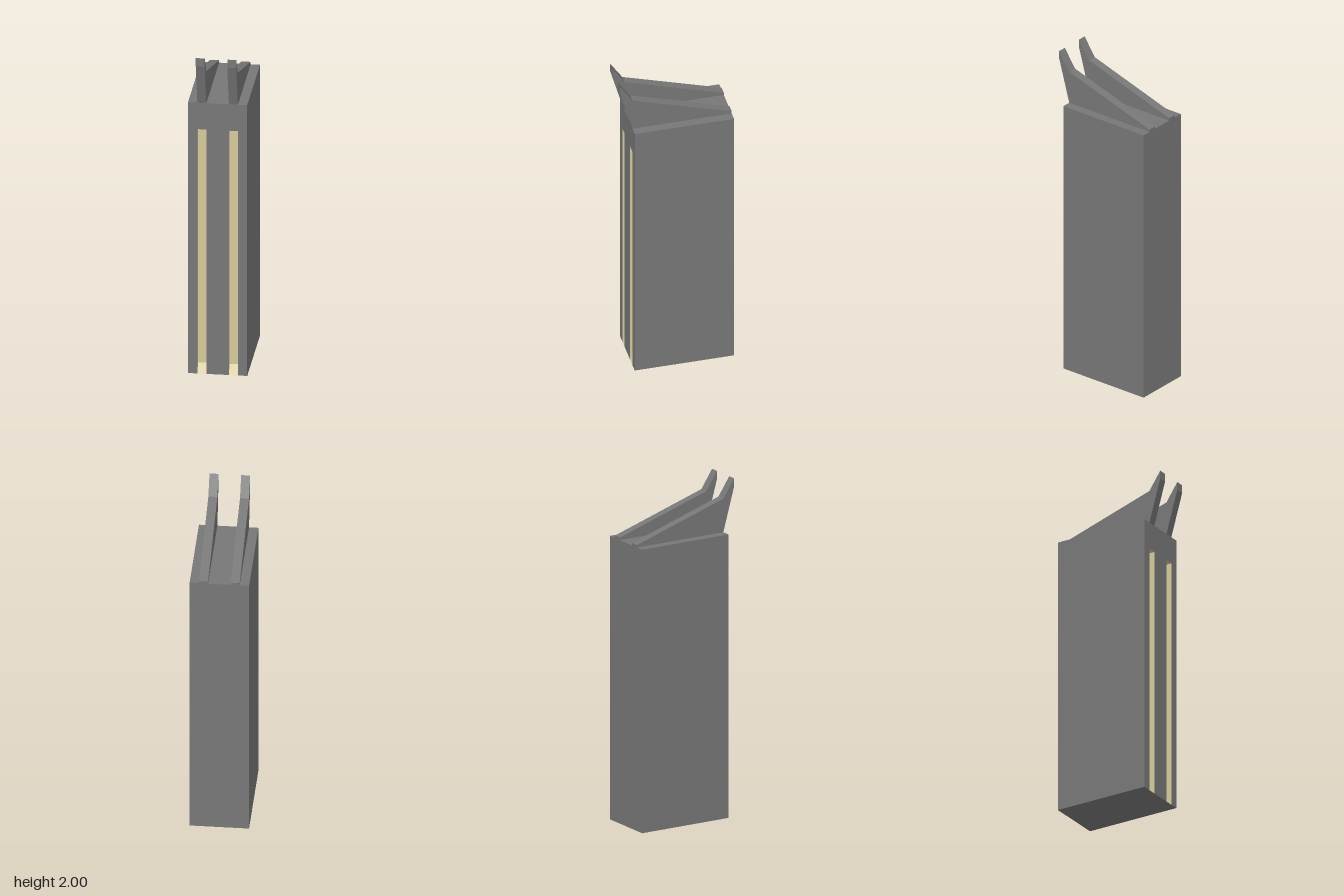
import * as THREE from 'three';

const W = 0.171, H = 1.69, BACK = -0.33, FRONT = 0.257; // body extents
const IN = 0.065, OUT = 0.117;                          // inner and outer x of slots and fins
const SLOT_TOP = 1.525, SLOT_Z = FRONT - 0.035, RAMP = 0.055;

// Flat faces, corners listed counter-clockwise as seen from outside
function faces(polys) {
  const pos = [];
  for (const p of polys)
    for (let i = 1; i < p.length - 1; i++) pos.push(...p[0], ...p[i], ...p[i + 1]);
  const g = new THREE.BufferGeometry();
  g.setAttribute('position', new THREE.Float32BufferAttribute(pos, 3));
  g.computeVertexNormals();
  return g;
}

export function createModel() {
  const model = new THREE.Group();
  const dark = new THREE.MeshStandardMaterial({ color: 0x777777 });
  const cream = new THREE.MeshStandardMaterial({ color: 0xd6ca9a });
  const add = (name, geometry, material) => {
    const mesh = new THREE.Mesh(geometry, material);
    mesh.name = name;
    model.add(mesh);
    return mesh;
  };

  // Body: sides, back, top and bottom
  add('bodyShell', faces([
    [[W, 0, FRONT], [W, 0, BACK], [W, H, BACK], [W, H, FRONT]],
    [[-W, 0, BACK], [-W, 0, FRONT], [-W, H, FRONT], [-W, H, BACK]],
    [[W, 0, BACK], [-W, 0, BACK], [-W, H, BACK], [W, H, BACK]],
    [[-W, H, FRONT], [W, H, FRONT], [W, H, BACK], [-W, H, BACK]],
    [[-W, 0, BACK], [W, 0, BACK], [W, 0, FRONT], [-W, 0, FRONT]],
  ]), dark);

  // Front face with two slots cut up from the bottom edge
  const front = new THREE.Shape([
    [-W, 0], [-OUT, 0], [-OUT, SLOT_TOP], [-IN, SLOT_TOP], [-IN, 0],
    [IN, 0], [IN, SLOT_TOP], [OUT, SLOT_TOP], [OUT, 0], [W, 0], [W, H], [-W, H],
  ].map(([x, y]) => new THREE.Vector2(x, y)));
  add('frontFace', new THREE.ShapeGeometry(front), dark).position.z = FRONT;

  // Fin profile as (z, y), from the front foot round over the hooked tip
  const fin = new THREE.Shape([
    [FRONT, H], [0.33, 1.95], [0.33, 2], [FRONT, 1.89], [BACK, 1.705], [BACK, H],
  ].map(([z, y]) => new THREE.Vector2(-z, y)));
  const finGeometry = new THREE.ExtrudeGeometry(fin, { depth: OUT - IN, bevelEnabled: false });
  finGeometry.rotateY(Math.PI / 2); // profile into the z-y plane, thickness along x

  for (const [side, a, b] of [['left', IN, OUT], ['right', -OUT, -IN]]) {
    // Slot lining: back, ramped floor, two walls and ceiling
    add(side + 'SlotLining', faces([
      [[a, RAMP, SLOT_Z], [b, RAMP, SLOT_Z], [b, SLOT_TOP, SLOT_Z], [a, SLOT_TOP, SLOT_Z]],
      [[a, 0, FRONT], [b, 0, FRONT], [b, RAMP, SLOT_Z], [a, RAMP, SLOT_Z]],
      [[a, 0, FRONT], [a, RAMP, SLOT_Z], [a, SLOT_TOP, SLOT_Z], [a, SLOT_TOP, FRONT]],
      [[b, 0, FRONT], [b, SLOT_TOP, FRONT], [b, SLOT_TOP, SLOT_Z], [b, RAMP, SLOT_Z]],
      [[a, SLOT_TOP, FRONT], [a, SLOT_TOP, SLOT_Z], [b, SLOT_TOP, SLOT_Z], [b, SLOT_TOP, FRONT]],
    ]), cream);
    add(side + 'Fin', finGeometry, dark).position.x = a;
  }
  return model;
}
